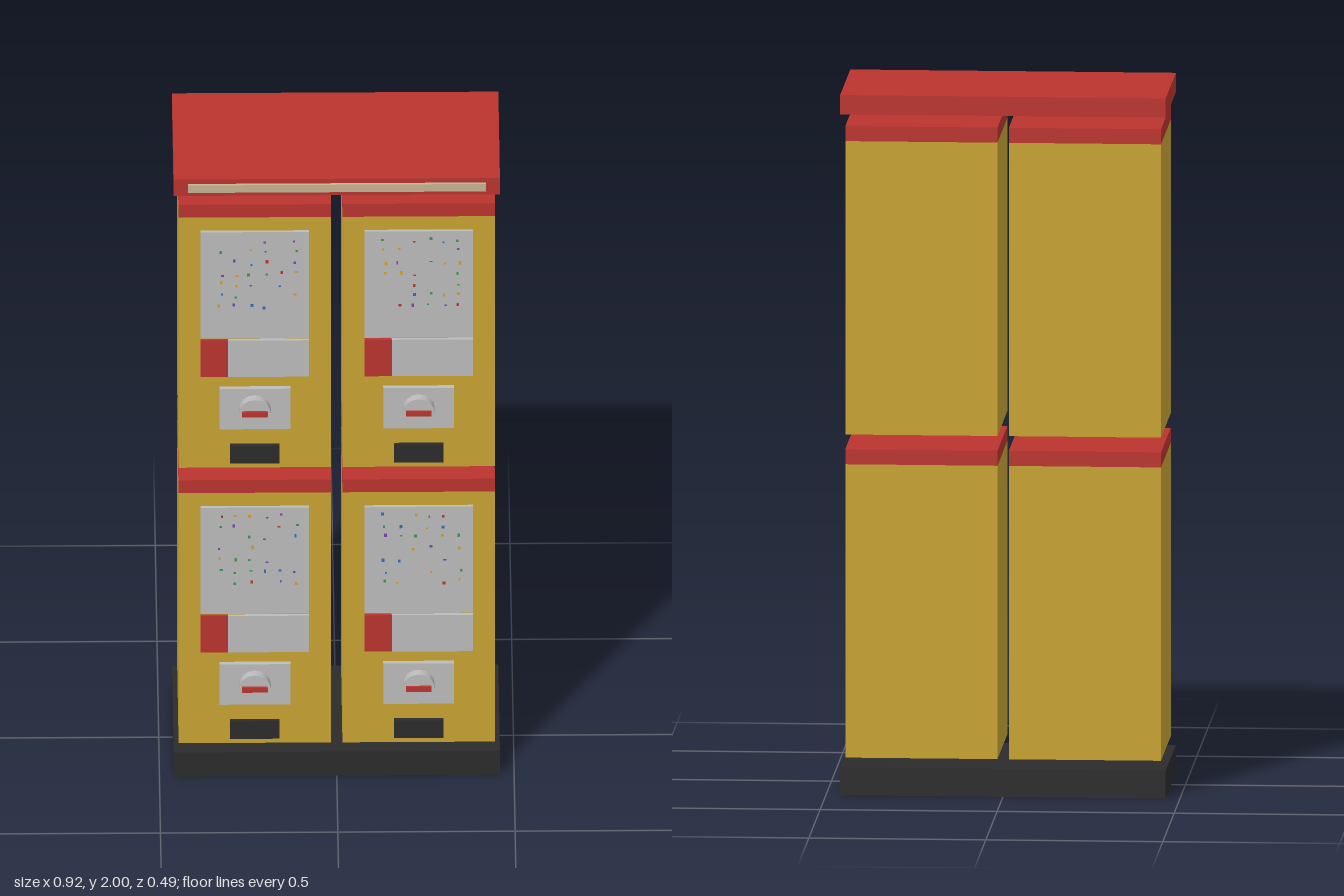
import * as THREE from 'three';

const mat = (name, color) => {
  const m = new THREE.MeshStandardMaterial({ color });
  m.name = name;
  return m;
};

export function createModel() {
  const red = mat('red', 0xbb342f);
  const yellow = mat('mustard yellow', 0xc8a433);
  const black = mat('black', 0x2b2b2b);
  const grey = mat('light grey', 0xbcbcbc);
  const cream = mat('cream', 0xc4b393);
  const toys = [mat('blue', 0x2f6fc0), mat('green', 0x3a9a50), mat('purple', 0x7a45b8), mat('orange', 0xd9a020), red];

  // Box given by its two extents on each axis
  const box = (parent, name, material, x0, x1, y0, y1, z0, z1) => {
    const mesh = new THREE.Mesh(new THREE.BoxGeometry(x1 - x0, y1 - y0, z1 - z0), material);
    mesh.position.set((x0 + x1) / 2, (y0 + y1) / 2, (z0 + z1) / 2);
    mesh.name = name;
    parent.add(mesh);
    return mesh;
  };

  let seed = 7;
  const random = () => (seed = (seed * 16807) % 2147483647) / 2147483647;

  // One dispenser, with x centred on its cabinet and y from its bottom
  const createMachine = () => {
    const g = new THREE.Group();
    g.name = 'dispenser';
    const face = 0.197;
    box(g, 'cabinet', yellow, -0.215, 0.215, 0, 0.838, -0.235, face);
    box(g, 'cabinetCap', red, -0.215, 0.215, 0.838, 0.881, -0.235, face);

    // Display window and price panel
    box(g, 'displayWindow', grey, -0.153, 0.153, 0.438, 0.794, face, 0.206);
    box(g, 'pricePanel', grey, -0.076, 0.153, 0.309, 0.431, face, 0.206);
    box(g, 'pricePanelAccent', red, -0.153, -0.076, 0.309, 0.431, face, 0.206);

    // Small toy marks in the window
    for (let row = 0; row < 7; row++) {
      for (let col = 0; col < 6; col++) {
        if (random() < 0.35) continue;
        const x = -0.1 + col * 0.042 + (random() - 0.5) * 0.012;
        const y = 0.54 + row * 0.037 + (random() - 0.5) * 0.014;
        const w = 0.005 + random() * 0.004;
        const h = 0.004 + random() * 0.007;
        box(g, 'toyMark', toys[Math.floor(random() * toys.length)], x, x + w, y, y + h, 0.2055, 0.2068);
      }
    }

    // Coin mechanism with turning knob
    box(g, 'coinPlate', grey, -0.1, 0.1, 0.137, 0.272, face, 0.211);
    const knob = new THREE.Mesh(new THREE.CylinderGeometry(0.045, 0.045, 0.027, 16), grey);
    knob.rotation.x = Math.PI / 2;
    knob.position.set(0, 0.206, 0.2235);
    knob.name = 'knob';
    g.add(knob);
    box(g, 'knobHandle', red, -0.036, 0.036, 0.198, 0.214, 0.235, 0.244);

    box(g, 'dispenserSlot', black, -0.07, 0.07, 0.021, 0.08, face, 0.209);
    return g;
  };

  const model = new THREE.Group();
  model.name = 'capsuleMachineStack';
  box(model, 'base', black, -0.46, 0.46, 0, 0.08, -0.245, 0.205);
  box(model, 'roof', red, -0.46, 0.46, 1.945, 2, -0.245, 0.205);
  box(model, 'roofStrip', cream, -0.42, 0.42, 1.96, 1.985, 0.205, 0.213);

  // Two by two stack
  for (const y of [0.106, 1.029]) {
    for (const x of [-0.231, 0.231]) {
      const machine = createMachine();
      machine.position.set(x, y, 0);
      model.add(machine);
    }
  }
  return model;
}
